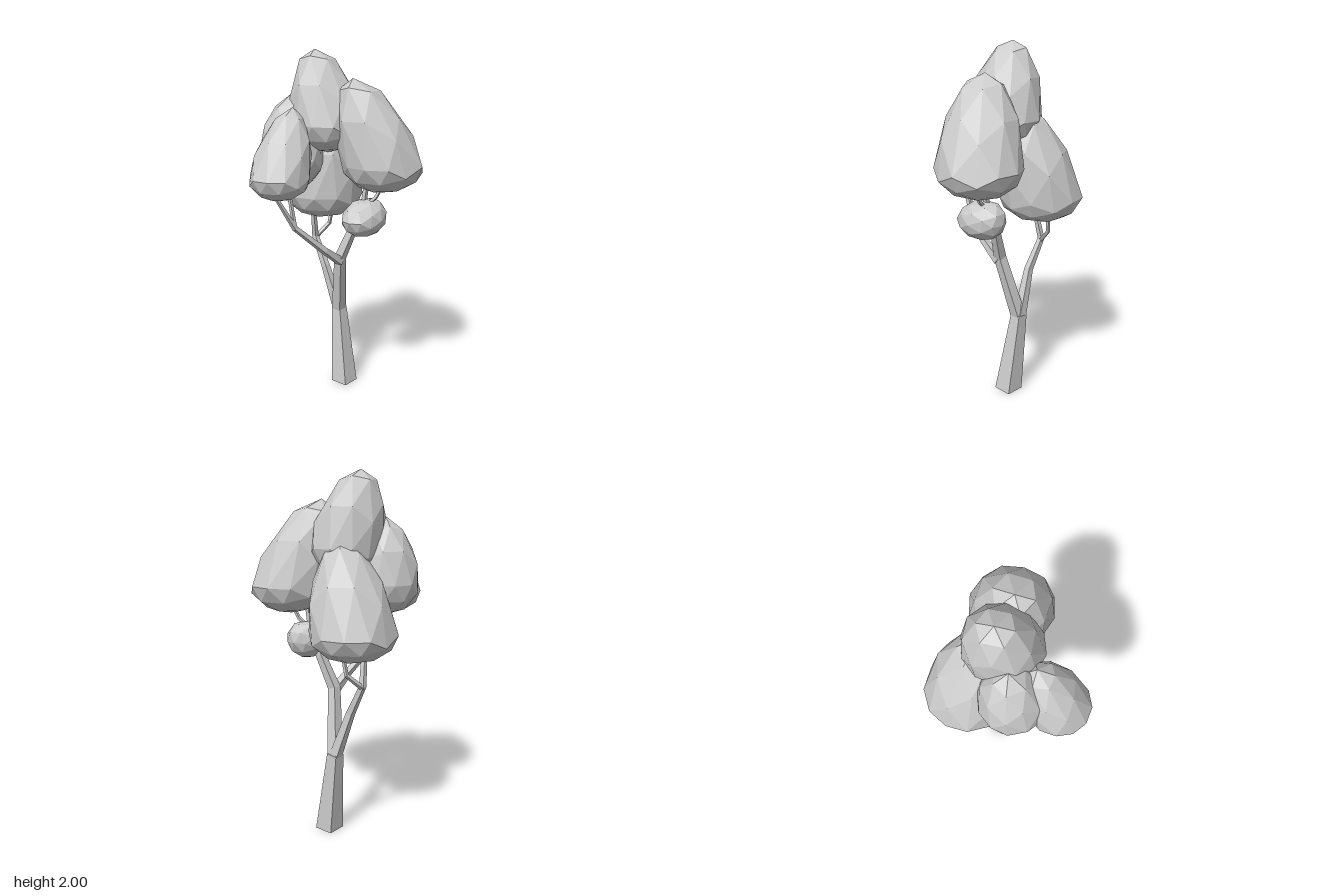
import * as THREE from 'three';

const material = new THREE.MeshStandardMaterial({ color: 0xcccccc, flatShading: true });

// Low-poly teardrop clump: a faceted ball with its upper half drawn out to an off-centre peak;
// blunt above 1 flattens the tip, taper narrows the shoulders
function foliage(name, center, radius, peak, bottom, yaw, taper, blunt) {
  const geometry = new THREE.IcosahedronGeometry(1, 1).rotateY(yaw);
  const p = geometry.attributes.position;
  const [cx, cy, cz] = center;
  for (let i = 0; i < p.count; i++) {
    const up = Math.max(p.getY(i), 0);
    const k = 1 - taper * up * up;
    const y = p.getY(i) > 0 ? Math.min(1, up * blunt) * (peak[1] - cy) : p.getY(i) * (cy - bottom);
    p.setXYZ(i,
      cx + p.getX(i) * radius[0] * k + (peak[0] - cx) * up,
      cy + y,
      cz + p.getZ(i) * radius[1] * k + (peak[2] - cz) * up);
  }
  geometry.computeVertexNormals();
  const mesh = new THREE.Mesh(geometry, material);
  mesh.name = name;
  return mesh;
}

// Square limb swept through points [x, y, z, half width]
function limb(name, path) {
  const points = path.map(([x, y, z]) => new THREE.Vector3(x, y, z));
  const corners = [[1, 1], [-1, 1], [-1, -1], [1, -1]];
  const positions = [], index = [];
  points.forEach((point, i) => {
    const t = new THREE.Vector3();
    if (i > 0) t.add(point.clone().sub(points[i - 1]).normalize());
    if (i < points.length - 1) t.add(points[i + 1].clone().sub(point).normalize());
    if (point.y === 0) t.set(0, 1, 0);
    t.normalize();
    const u = new THREE.Vector3(1, 0, 0).addScaledVector(t, -t.x).normalize();
    const v = t.clone().cross(u);
    for (const [a, b] of corners) {
      const w = path[i][3];
      positions.push(...point.clone().addScaledVector(u, a * w).addScaledVector(v, b * w).toArray());
    }
  });
  for (let i = 0; i < points.length - 1; i++) {
    for (let j = 0; j < 4; j++) {
      const a = i * 4 + j, b = i * 4 + (j + 1) % 4;
      index.push(a, b, b + 4, a, b + 4, a + 4);
    }
  }
  // End caps
  const e = (points.length - 1) * 4;
  index.push(0, 2, 1, 0, 3, 2, e, e + 1, e + 2, e, e + 2, e + 3);
  const indexed = new THREE.BufferGeometry();
  indexed.setAttribute('position', new THREE.Float32BufferAttribute(positions, 3));
  indexed.setIndex(index);
  const geometry = indexed.toNonIndexed();
  geometry.computeVertexNormals();
  const mesh = new THREE.Mesh(geometry, material);
  mesh.name = name;
  return mesh;
}

export function createModel() {
  const tree = new THREE.Group();
  tree.name = 'tree';

  // Trunk and its two main forks
  const wood = new THREE.Group();
  wood.name = 'wood';
  wood.add(
    limb('trunk', [[0.168, 0, -0.025, 0.055], [0.187, 0.47, -0.085, 0.032]]),
    limb('frontFork', [[0.187, 0.45, -0.085, 0.031], [0.105, 0.82, -0.01, 0.025],
      [0.135, 1.0, 0.06, 0.02], [0.14, 1.15, 0.13, 0.012], [0.15, 1.32, 0.15, 0.01]]),
    limb('backFork', [[0.19, 0.46, -0.09, 0.026], [0.17, 0.72, -0.18, 0.018],
      [0.18, 0.89, -0.27, 0.014], [0.14, 1.08, -0.25, 0.011]]),
    // Smaller branches
    limb('leftBranch', [[0.1, 0.8, -0.005, 0.022], [-0.03, 0.89, -0.01, 0.016],
      [-0.21, 1.05, -0.07, 0.012], [-0.34, 1.27, -0.11, 0.007]]),
    limb('leftTwig', [[-0.21, 1.04, -0.07, 0.01], [-0.22, 1.28, -0.11, 0.007]]),
    limb('backRightTwig', [[0.18, 0.88, -0.27, 0.011], [0.265, 0.96, -0.23, 0.009],
      [0.28, 1.1, -0.21, 0.007]]),
    limb('frontTwig', [[0.14, 1.14, 0.13, 0.01], [0.16, 1.2, 0.2, 0.008], [0.18, 1.3, 0.25, 0.007]]),
  );
  tree.add(wood);

  // Foliage clumps: name, centre, x/z radii, peak, lowest y, turn, taper, bluntness
  tree.add(
    foliage('frontFoliage', [0.185, 1.39, 0.23], [0.235, 0.228], [0.085, 1.85, 0.09], 1.23, 0.2, 0.2, 1.06),
    foliage('topFoliage', [0.065, 1.6, -0.065], [0.215, 0.205], [0.05, 2.0, -0.15], 1.44, 0.3, 0.3, 1.07),
    foliage('backRightFoliage', [0.205, 1.17, -0.225], [0.24, 0.235], [0.17, 1.68, -0.12], 1.02, 0.5, 0.35, 1),
    foliage('backLeftFoliage', [-0.075, 1.41, -0.22], [0.185, 0.19], [-0.06, 1.76, -0.23], 1.235, 0.9, 0.25, 1),
    foliage('leftFoliage', [-0.28, 1.34, -0.115], [0.17, 0.17], [-0.155, 1.7, -0.13], 1.21, 0.4, 0.35, 1.05),
    foliage('smallFoliage', [0.12, 1.08, 0.15], [0.15, 0.115], [0.15, 1.185, 0.145], 0.975, 0.1, 0, 1.1),
  );
  return tree;
}
